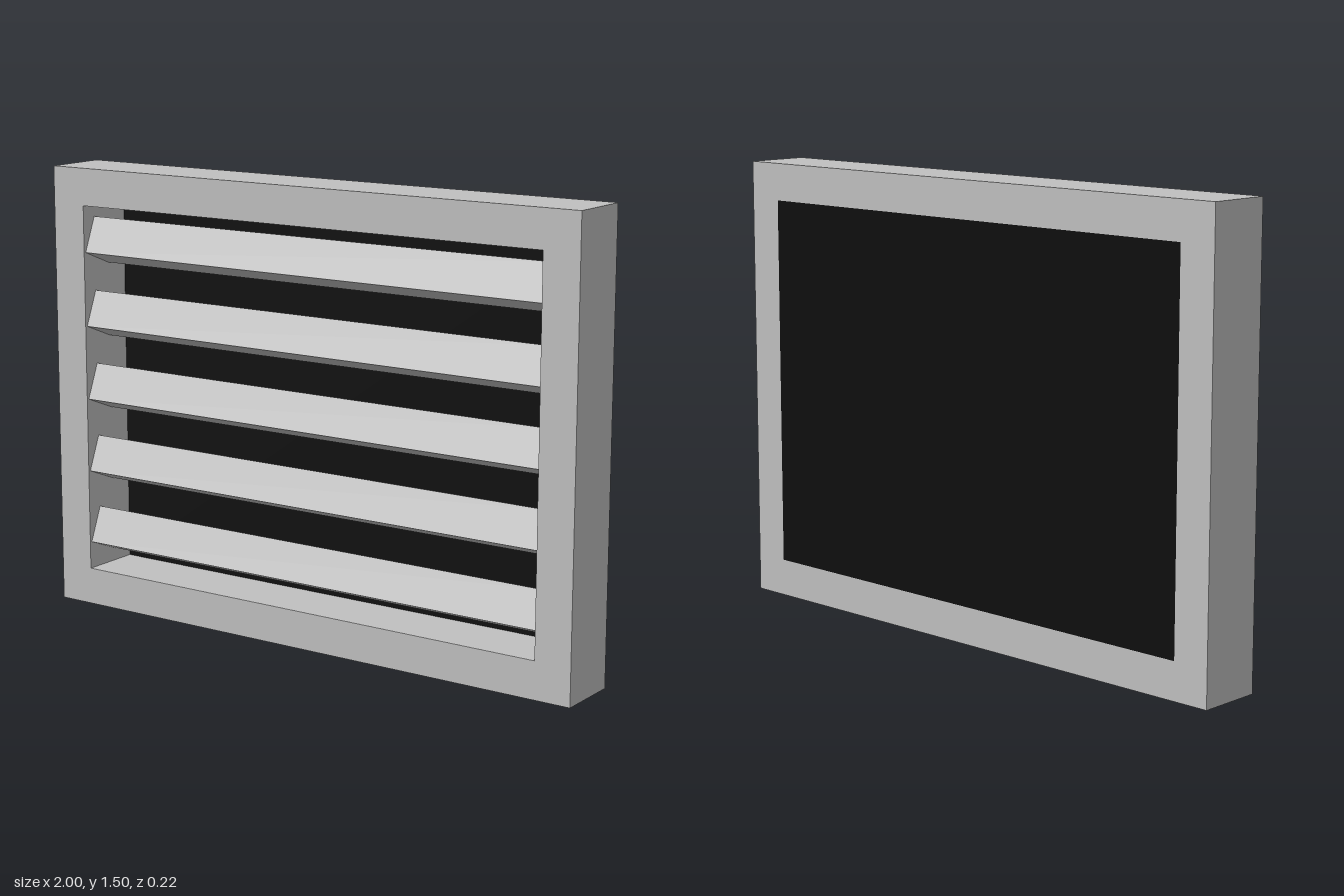
import * as THREE from 'three';

const W = 2, H = 1.5, DEPTH = 0.22, BORDER = 0.125;
const OPEN_W = W - 2 * BORDER, OPEN_H = H - 2 * BORDER;

export function createModel() {
  const model = new THREE.Group();
  model.name = 'louveredVent';

  const metal = new THREE.MeshStandardMaterial({ color: 0xc0c0c0 });
  metal.name = 'light grey metal';
  const black = new THREE.MeshStandardMaterial({ color: 0x0d0d0d });
  black.name = 'black backing';

  const add = (name, geometry, material, x, y, z) => {
    const mesh = new THREE.Mesh(geometry, material);
    mesh.name = name;
    mesh.position.set(x, y, z);
    model.add(mesh);
    return mesh;
  };

  // Rectangular frame with a square-edged opening
  const outline = new THREE.Shape([
    new THREE.Vector2(-W / 2, 0), new THREE.Vector2(W / 2, 0),
    new THREE.Vector2(W / 2, H), new THREE.Vector2(-W / 2, H),
  ]);
  const ox = OPEN_W / 2;
  outline.holes.push(new THREE.Path([
    new THREE.Vector2(-ox, BORDER), new THREE.Vector2(-ox, H - BORDER),
    new THREE.Vector2(ox, H - BORDER), new THREE.Vector2(ox, BORDER),
  ]));
  const frame = new THREE.ExtrudeGeometry(outline, { depth: DEPTH, bevelEnabled: false });
  add('frame', frame, metal, 0, 0, -DEPTH / 2);

  // Backing panel flush with the rear of the frame
  const panel = new THREE.BoxGeometry(OPEN_W, OPEN_H, 0.01);
  add('backPanel', panel, black, 0, H / 2, -DEPTH / 2 + 0.005);

  // Five tilted slats, front faces leaning upward
  const slat = new THREE.BoxGeometry(OPEN_W, 0.126, 0.126);
  for (let i = 0; i < 5; i++) {
    const y = BORDER + (i + 0.5) * OPEN_H / 5;
    add(`slat${i + 1}`, slat, metal, 0, y + 0.002, 0.02).rotation.x = -0.385;
  }

  return model;
}
